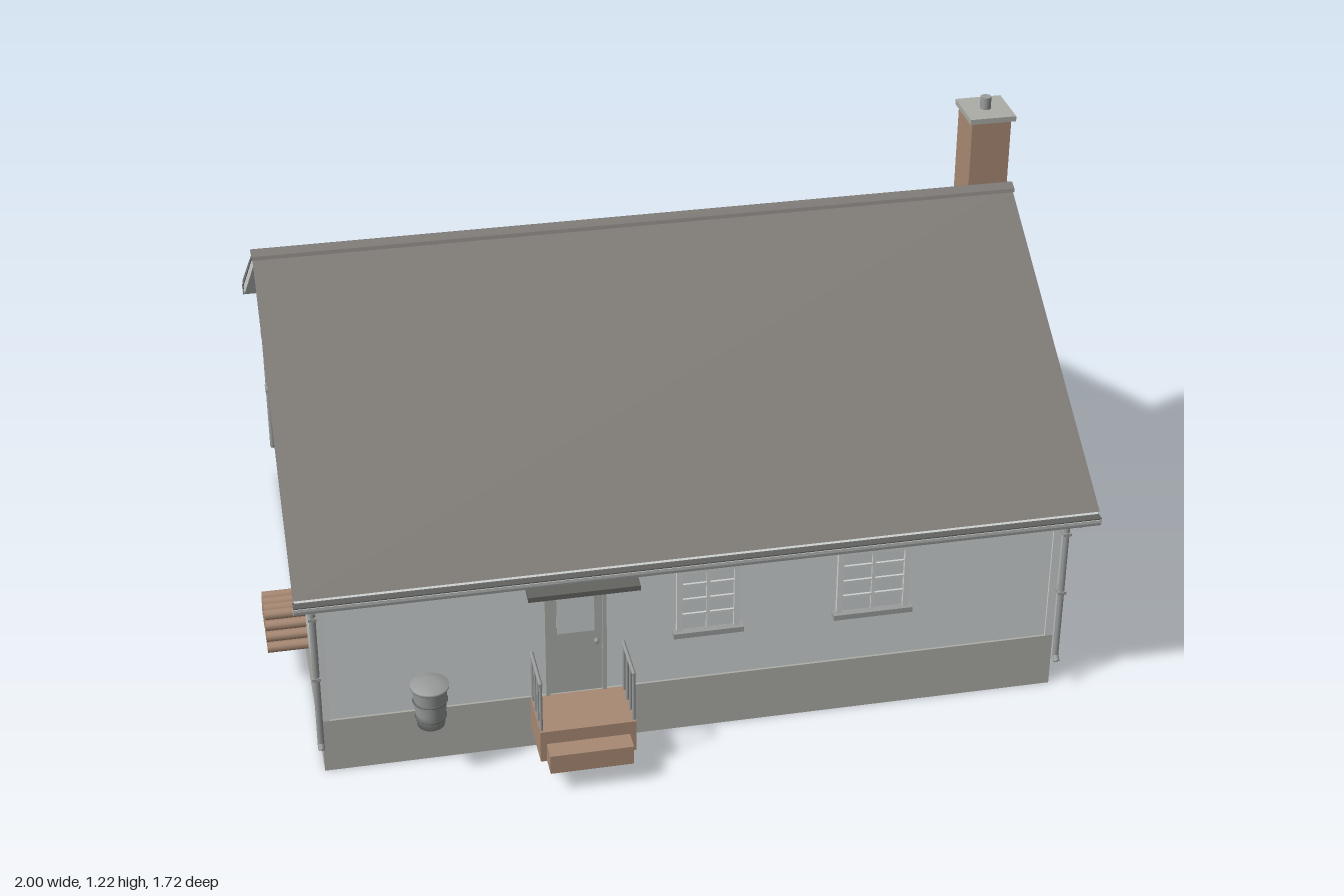
import * as THREE from 'three';

const mat = (name, color) => Object.assign(new THREE.MeshStandardMaterial({ color }), { name });

export function createModel() {
  const siding = mat('siding', 0xd0d5d5), trim = mat('trim', 0xcdd1d0), concrete = mat('concrete', 0xacada6);
  const roofing = mat('roofing', 0x7f7b77), brick = mat('brick', 0xa98a74), dark = mat('dark metal', 0x62625f);
  const doorPaint = mat('door paint', 0xa9aea8), glass = mat('glass', 0xc8cece);
  const floorWood = mat('floor wood', 0x846d5c), metal = mat('grey metal', 0x9a9d9c);

  const house = new THREE.Group();
  house.name = 'house';
  const add = (parent, name, geo, material) => {
    const m = new THREE.Mesh(geo, material);
    m.name = name;
    parent.add(m);
    return m;
  };
  const group = (name, parent = house) => {
    const g = new THREE.Group();
    g.name = name;
    parent.add(g);
    return g;
  };
  // Box given by its minimum and maximum on each axis
  const box = (parent, name, material, x0, x1, y0, y1, z0, z1) => {
    const m = add(parent, name, new THREE.BoxGeometry(x1 - x0, y1 - y0, z1 - z0), material);
    m.position.set((x0 + x1) / 2, (y0 + y1) / 2, (z0 + z1) / 2);
    return m;
  };
  // Outline of [z, y] points extruded along x
  const extrudeX = (parent, name, material, pts, x0, x1) => {
    const shape = new THREE.Shape(pts.map(([z, y]) => new THREE.Vector2(-z, y)));
    const geo = new THREE.ExtrudeGeometry(shape, { depth: x1 - x0, bevelEnabled: false });
    geo.rotateY(Math.PI / 2).translate(x0, 0, 0);
    return add(parent, name, geo, material);
  };
  // Round rod between two points
  const rod = (parent, name, material, a, b, r, sides = 8) => {
    const p = new THREE.Vector3(...a), q = new THREE.Vector3(...b), d = q.clone().sub(p);
    const m = add(parent, name, new THREE.CylinderGeometry(r, r, d.length(), sides), material);
    m.position.copy(p).add(q).multiplyScalar(0.5);
    m.quaternion.setFromUnitVectors(new THREE.Vector3(0, 1, 0), d.normalize());
    return m;
  };

  // Hollow foundation with the floor set inside
  const X0 = -0.9, X1 = 0.91, Z0 = -0.693, Z1 = 0.667, t = 0.06, RZ = -0.013;
  const foundation = group('foundation');
  box(foundation, 'foundationFront', concrete, X0, X1, 0, 0.145, Z1 - t, Z1);
  box(foundation, 'foundationBack', concrete, X0, X1, 0, 0.145, Z0, Z0 + t);
  box(foundation, 'foundationLeft', concrete, X1 - t, X1, 0, 0.145, Z0 + t, Z1 - t);
  box(foundation, 'foundationRight', concrete, X0, X0 + t, 0, 0.145, Z0 + t, Z1 - t);
  box(foundation, 'floor', floorWood, X0 + t, X1 - t, 0.11, 0.14, Z0 + t, Z1 - t);

  // Walls with gables, and corner boards
  extrudeX(house, 'walls', siding, [[Z1 - 0.006, 0.141], [Z1 - 0.006, 0.6], [RZ, 1.02],
    [Z0 + 0.006, 0.6], [Z0 + 0.006, 0.141]], X0 + 0.006, X1 - 0.006);
  for (const x of [X0, X1 - 0.02])
    for (const [a, b] of [[Z0, Z0 + 0.04], [Z1 - 0.04, Z1]])
      box(house, 'cornerBoard', trim, x, x + 0.02, 0.145, 0.6, a, b);

  // Roof: pale boarding below, dark covering above, ridge cap
  const chevron = (top, bottom, e) => [[0.765 - e, 0.565 + top], [RZ, 1.052 + top], [-0.805 + e, 0.565 + top],
    [-0.79 + e, 0.565 + bottom], [RZ, 1.052 + bottom], [0.75 - e, 0.565 + bottom]];
  extrudeX(house, 'roofBoards', trim, chevron(-0.008, -0.034, 0), -0.948, 0.958);
  extrudeX(house, 'roofCovering', roofing, chevron(0, -0.008, -0.003), -0.95, 0.96);
  extrudeX(house, 'ridgeCap', roofing, [[0.012, 1.044], [0.008, 1.052], [RZ, 1.062], [-0.034, 1.052],
    [-0.038, 1.044]], -0.952, 0.962);

  // Gutters and downpipes on both eaves
  for (const [s, zg, zw] of [[1, 0.768, 0.682], [-1, -0.798, -0.708]]) {
    const g = group(s > 0 ? 'frontGutter' : 'backGutter');
    const pts = [];
    for (let i = 0; i <= 8; i++) {
      const a = Math.PI * (1 + i / 8);
      pts.push([zg + 0.014 * Math.cos(a), 0.55 + 0.022 * Math.sin(a)]);
    }
    extrudeX(g, 'gutterChannel', trim, pts, -0.952, 0.962);
    box(g, 'gutterRim', dark, -0.952, 0.962, 0.55, 0.553, zg - 0.012, zg + 0.012);
    for (const x of [-0.906, 0.916]) {
      rod(g, 'pipeElbow', metal, [x, 0.532, zg], [x, 0.515, zw], 0.008);
      rod(g, 'downpipe', metal, [x, 0.52, zw], [x, 0.09, zw], 0.008);
      rod(g, 'pipeFoot', metal, [x, 0.095, zw], [x, 0.083, zw + s * 0.012], 0.008);
      for (const y of [0.28, 0.45]) box(g, 'pipeClip', metal, x - 0.01, x + 0.01, y, y + 0.008,
        Math.min(zw, zw - s * 0.025), Math.max(zw, zw - s * 0.025) + 0.01);
    }
  }

  // Windows, built facing +z and turned to their wall
  const addWindow = (x, z, turn, w, y0 = 0.29, y1 = 0.46) => {
    const g = group('window'), h = w / 2;
    g.position.set(x, 0, z);
    g.rotation.y = turn;
    box(g, 'pane', glass, -h, h, y0, y1, -0.004, 0.002);
    for (const s of [-1, 1]) box(g, 'jamb', trim, s * h - 0.007, s * h + 0.007, y0, y1, -0.004, 0.012);
    box(g, 'head', trim, -h - 0.007, h + 0.007, y1 - 0.007, y1 + 0.007, -0.004, 0.012);
    box(g, 'mullion', trim, -0.004, 0.004, y0, y1, 0, 0.009);
    for (const f of [0.25, 0.5, 0.75]) {
      const y = y0 + f * (y1 - y0);
      box(g, 'glazingBar', trim, -h, h, y - 0.003, y + 0.003, 0, 0.008);
    }
    box(g, 'sill', metal, -h - 0.016, h + 0.016, y0 - 0.014, y0, -0.004, 0.022);
  };
  addWindow(0.033, Z1 - 0.006, 0, 0.14);
  addWindow(0.44, Z1 - 0.006, 0, 0.165);
  addWindow(0.49, Z0 + 0.006, Math.PI, 0.165);
  addWindow(-0.52, Z0 + 0.006, Math.PI, 0.165);
  addWindow(X1 - 0.006, -0.02, Math.PI / 2, 0.165, 0.315, 0.46);
  addWindow(X0 + 0.006, 0.235, -Math.PI / 2, 0.175);

  // Doors
  const addDoor = (name, x, z, turn, glazed) => {
    const g = group(name);
    g.position.set(x, 0, z);
    g.rotation.y = turn;
    box(g, 'doorLeaf', doorPaint, -0.065, 0.065, 0.147, 0.455, -0.004, 0.005);
    for (const s of [-1, 1]) box(g, 'doorJamb', doorPaint, s * 0.069 - 0.005, s * 0.069 + 0.005, 0.147, 0.46, -0.004, 0.012);
    box(g, 'doorHead', doorPaint, -0.074, 0.074, 0.453, 0.463, -0.004, 0.012);
    if (glazed) box(g, 'doorGlass', glass, -0.045, 0.045, 0.32, 0.43, 0.004, 0.008);
    else for (const s of [-1, 1]) for (const [a, b] of [[0.18, 0.27], [0.3, 0.43]])
      box(g, 'doorPanel', doorPaint, s * 0.028 - 0.019, s * 0.028 + 0.019, a, b, 0.004, 0.009);
    rod(g, 'doorKnob', metal, [0.05, 0.29, 0.004], [0.05, 0.29, 0.018], 0.006);
  };
  addDoor('frontDoor', -0.288, Z1 - 0.006, 0, true);
  addDoor('backDoor', 0.005, Z0 + 0.006, Math.PI, false);

  // Front porch with railings and canopy
  const porch = group('frontPorch');
  box(porch, 'porchLanding', brick, -0.4, -0.17, 0.06, 0.145, Z1, 0.81);
  box(porch, 'porchStep', brick, -0.385, -0.185, 0.06, 0.11, 0.81, 0.86);
  for (const x of [-0.396, -0.174]) {
    for (const z of [0.68, 0.72, 0.76, 0.8]) rod(porch, 'baluster', metal, [x, 0.14, z], [x, 0.28, z], 0.004);
    rod(porch, 'handrail', metal, [x, 0.278, 0.672], [x, 0.278, 0.806], 0.005);
    rod(porch, 'canopyBracket', dark, [x, 0.435, 0.668], [x, 0.51, 0.76], 0.004);
    rod(porch, 'canopyPost', dark, [x, 0.43, 0.669], [x, 0.525, 0.669], 0.005);
  }
  extrudeX(porch, 'canopy', dark, [[0.66, 0.545], [0.66, 0.532], [0.79, 0.504], [0.79, 0.517]], -0.418, -0.155);

  // Back steps
  box(house, 'backLanding', concrete, -0.11, 0.12, 0.085, 0.145, -0.805, Z0);
  box(house, 'backStep', concrete, -0.11, 0.12, 0.065, 0.107, -0.862, -0.805);

  // Chimney
  const chimney = group('chimney');
  box(chimney, 'chimneyStack', brick, 0.887, 0.99, 0.015, 1.178, -0.245, -0.13);
  box(chimney, 'chimneyCap', concrete, 0.88, 1, 1.176, 1.19, -0.255, -0.122);
  rod(chimney, 'chimneyPot', metal, [0.938, 1.188, -0.187], [0.938, 1.222, -0.187], 0.014, 16);

  // Gable vents
  for (const [x, n] of [[X0, 0], [X1 - 0.01, 1]]) {
    box(house, 'gableVent', trim, x, x + 0.01, 0.83, 0.9, -0.037, 0.012);
    for (let i = 0; i < 4; i++)
      box(house, 'ventSlat', metal, x - 0.003 + n * 0.004, x + 0.009 + n * 0.004, 0.84 + i * 0.015, 0.845 + i * 0.015, -0.033, 0.008);
  }

  // Barrel with hoops and lid
  const barrel = group('barrel');
  barrel.position.set(-0.647, 0.15, 0.728);
  const profile = [[0, 0], [0.033, 0], [0.037, 0.04], [0.042, 0.105], [0.046, 0.106], [0.046, 0.113], [0.02, 0.118], [0, 0.119]];
  add(barrel, 'barrelBody', new THREE.LatheGeometry(profile.map(p => new THREE.Vector2(...p)), 20), metal);
  for (const [y, r] of [[0.025, 0.0365], [0.07, 0.0405]]) {
    const hoop = add(barrel, 'barrelHoop', new THREE.TorusGeometry(r, 0.002, 6, 20), dark);
    hoop.rotation.x = Math.PI / 2;
    hoop.position.y = y;
  }

  // Stacked logs against the side wall
  const logs = group('logPile'), r = 0.0135;
  for (let row = 0; row < 4; row++) for (let i = 0; i < 7 - row; i++) {
    const z = 0.215 + (i - (6 - row) / 2) * 2 * r, y = 0.1 + r + row * r * 1.74;
    rod(logs, 'log', brick, [-1, y, z], [-0.9, y, z], r, 10);
  }
  return house;
}
